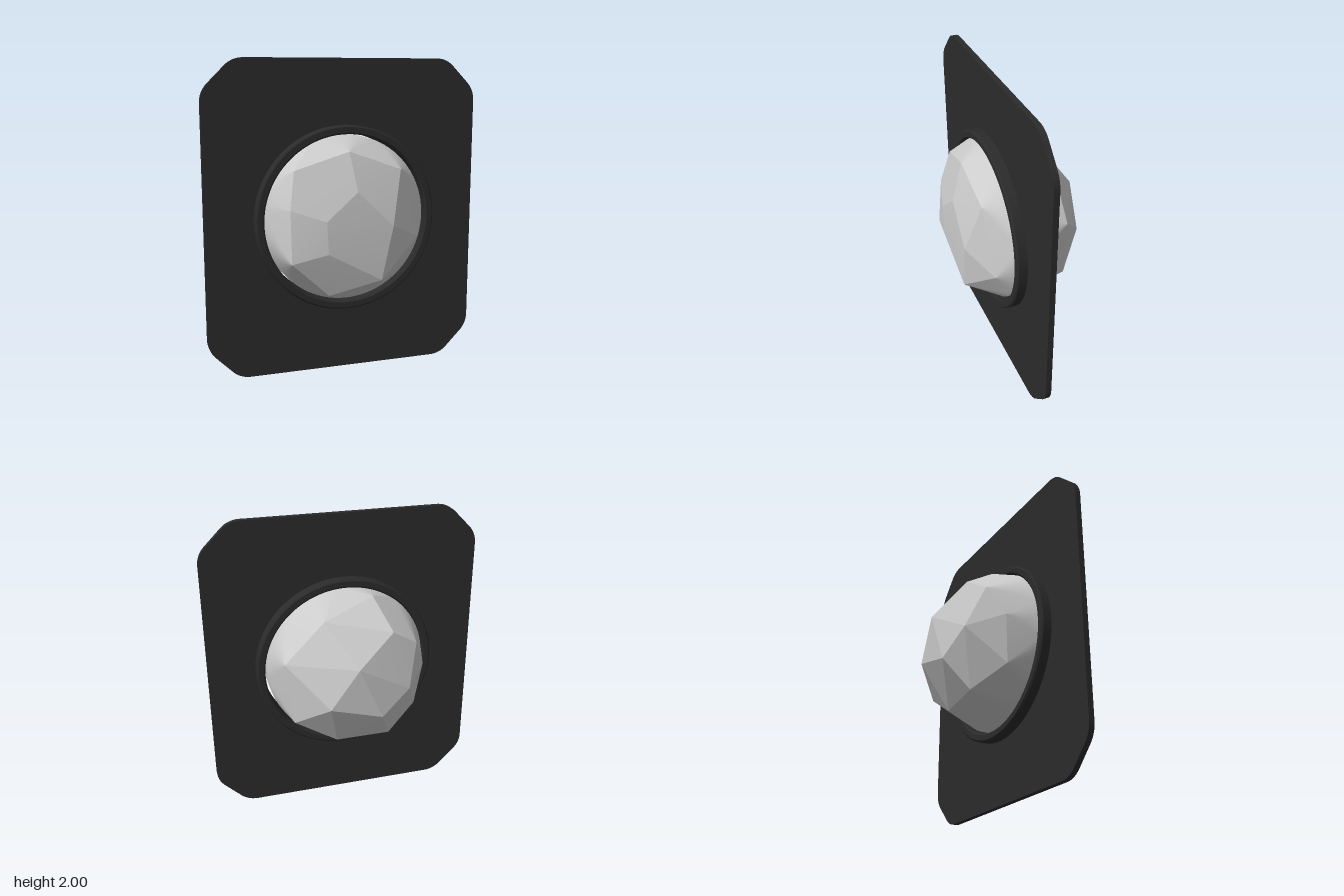
import * as THREE from 'three';
import { toCreasedNormals } from 'three/addons/utils/BufferGeometryUtils.js';
import { ConvexGeometry } from 'three/addons/geometries/ConvexGeometry.js';

const MID_Z = 0.112;

// Closed outline with every corner rounded over distance d
function roundedPolygon(points, d) {
  const shape = new THREE.Shape();
  const n = points.length;
  points.forEach((p, i) => {
    const prev = points[(i + n - 1) % n], next = points[(i + 1) % n];
    const a = p.clone().add(prev.clone().sub(p).setLength(d));
    const b = p.clone().add(next.clone().sub(p).setLength(d));
    if (i === 0) shape.moveTo(a.x, a.y); else shape.lineTo(a.x, a.y);
    shape.quadraticCurveTo(p.x, p.y, b.x, b.y);
  });
  shape.closePath();
  return shape;
}

// Flat plate with cut corners and a round hole
function createPlate(material) {
  const outline = [
    [0.895, -0.8], [0.895, 0.8], [0.695, 1], [-0.695, 1],
    [-0.895, 0.8], [-0.895, -0.8], [-0.695, -1], [0.695, -1],
  ].map(([x, y]) => new THREE.Vector2(x, y));
  const shape = roundedPolygon(outline, 0.07);
  shape.holes.push(new THREE.Path().absarc(0, 0, 0.56, 0, Math.PI * 2, true));
  const depth = 0.036;
  const geometry = new THREE.ExtrudeGeometry(shape, { depth, bevelEnabled: false, curveSegments: 32 });
  geometry.translate(0, 1, MID_Z - depth / 2);
  const mesh = new THREE.Mesh(toCreasedNormals(geometry, 0.6), material);
  mesh.name = 'plate';
  return mesh;
}

// Collar around the hole, with small bevels on its rims
function createRing(material) {
  const inner = 0.535, outer = 0.59, h = 0.085, b = 0.01;
  const profile = [
    [inner, -h + b], [inner + b, -h], [outer - b, -h], [outer, -h + b],
    [outer, h - b], [outer - b, h], [inner + b, h], [inner, h - b], [inner, -h + b],
  ].map(([r, y]) => new THREE.Vector2(r, y));
  const geometry = new THREE.LatheGeometry(profile, 96);
  geometry.rotateX(Math.PI / 2);
  geometry.translate(0, 1, MID_Z);
  const mesh = new THREE.Mesh(toCreasedNormals(geometry, 0.5), material);
  mesh.name = 'ring';
  return mesh;
}

// Rough faceted stone with a round girdle where the ring holds it
function createStone(material) {
  const front = [
    [-0.37, 1.33, 0.28], [-0.03, 1.44, 0.315], [0, 1.2, 0.39], [0.31, 1.32, 0.31],
    [-0.41, 1.1, 0.34], [0.23, 0.98, 0.4], [-0.41, 0.775, 0.37], [-0.165, 0.55, 0.33],
    [0.16, 0.64, 0.39], [0.445, 0.88, 0.28], [-0.19, 0.83, 0.405], [-0.2, 1.03, 0.4],
  ];
  const back = [
    [-0.215, 1.34, -0.285], [-0.15, 1.5, -0.06], [0.2, 1.42, -0.2], [0.45, 1.16, -0.19],
    [0.035, 1.17, -0.405], [0.21, 0.91, -0.385], [-0.385, 1.23, -0.24], [-0.31, 0.97, -0.345],
    [-0.47, 1.03, -0.15], [-0.12, 0.82, -0.395], [-0.21, 0.61, -0.25], [-0.43, 0.73, -0.12],
    [0.13, 0.59, -0.22], [0.4, 0.75, -0.2],
  ];
  const points = [...front, ...back].map((p) => new THREE.Vector3(...p));
  const steps = 64;
  for (const z of [0.05, 0.17]) {
    for (let i = 0; i < steps; i++) {
      const a = (i / steps) * Math.PI * 2;
      points.push(new THREE.Vector3(-0.007 + 0.526 * Math.cos(a), 1.004 + 0.526 * Math.sin(a), z));
    }
  }
  const mesh = new THREE.Mesh(toCreasedNormals(new ConvexGeometry(points), 0.15), material);
  mesh.name = 'stone';
  return mesh;
}

export function createModel() {
  const dark = new THREE.MeshStandardMaterial({ color: 0x2b2b2b });
  const grey = new THREE.MeshStandardMaterial({ color: 0xcccccc });
  const model = new THREE.Group();
  model.name = 'framedStone';
  model.add(createPlate(dark), createRing(dark), createStone(grey));
  return model;
}
